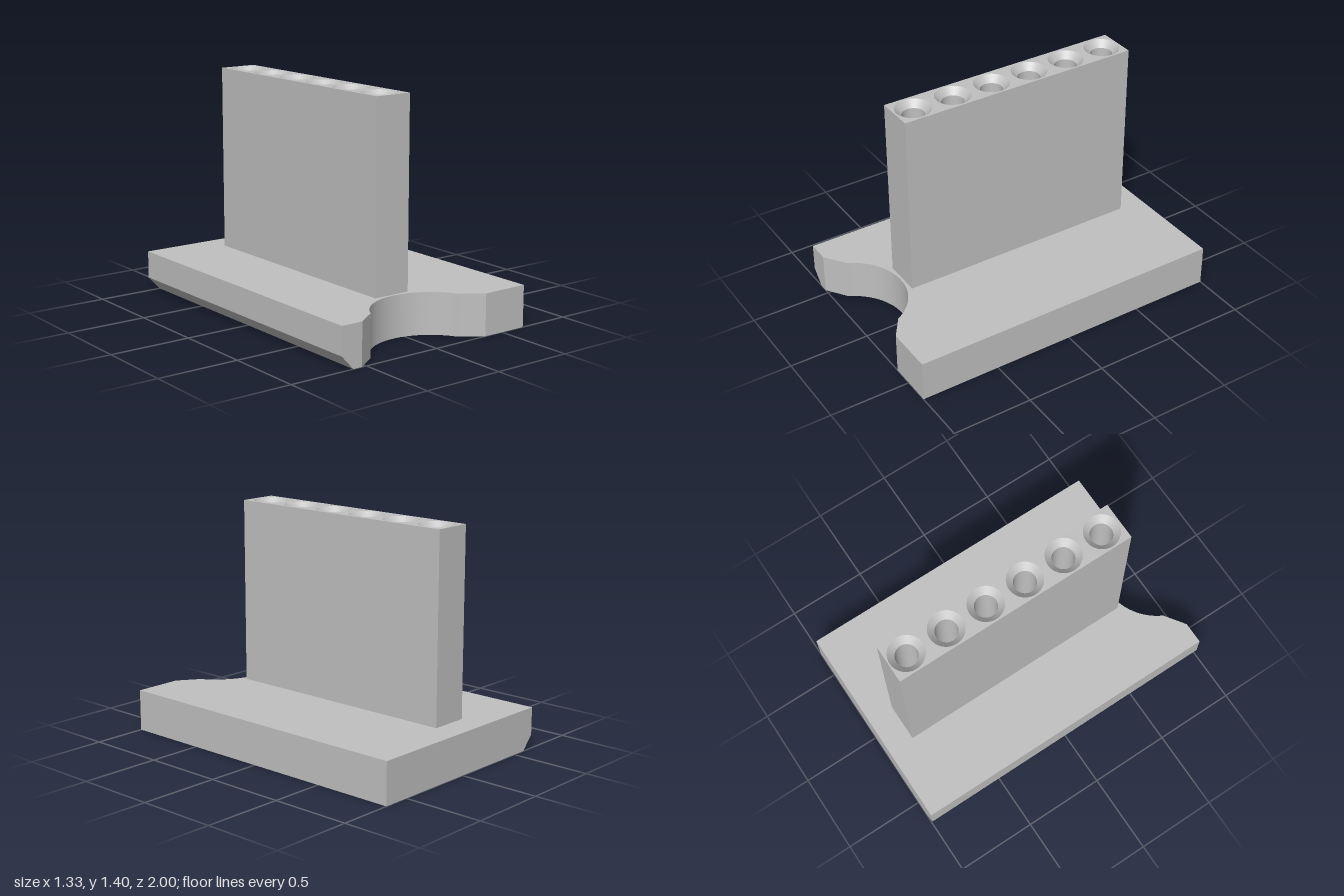
import * as THREE from 'three';
import { mergeGeometries, toCreasedNormals } from 'three/addons/utils/BufferGeometryUtils.js';

const BASE_H = 0.255, TOP = 1.4, AXIS_X = -0.08;
const RIM_R = 0.107, BORE_R = 0.067;

// Plate with a scalloped front edge and a chamfer under its right edge
function baseGeometry() {
  const s = new THREE.Shape(); // shape y is -z
  const a = Math.atan2(0.165, 0.32);
  s.moveTo(-0.667, 1);
  s.lineTo(-0.667, -1);
  s.lineTo(-0.53, -1);
  s.lineTo(-0.4, -0.91);
  s.absarc(AXIS_X, -1.075, 0.36, Math.PI - a, a, true);
  s.lineTo(0.37, -1);
  s.lineTo(0.667, -1);
  s.lineTo(0.667, 1);
  s.closePath();
  const g = new THREE.ExtrudeGeometry(s, { depth: BASE_H, steps: 3, bevelEnabled: false, curveSegments: 32 });
  g.rotateX(-Math.PI / 2);
  // pull the lowest ring of the right edge inward to form the chamfer
  const p = g.attributes.position;
  for (let i = 0; i < p.count; i++) {
    if (p.getX(i) < -0.66 && p.getY(i) < 0.01) p.setX(i, -0.59);
  }
  return toCreasedNormals(g, 0.35);
}

// Countersunk blind hole, facing inward, with crisp edges between its parts
function holeGeometry() {
  const profile = [[RIM_R, 0], [BORE_R, -0.04], [BORE_R, -0.5], [0, -0.5]]
    .map(([x, y]) => new THREE.Vector2(x, y));
  const parts = [];
  for (let i = 0; i < 3; i++) parts.push(new THREE.LatheGeometry([profile[i], profile[i + 1]], 48));
  return mergeGeometries(parts);
}

export function createModel() {
  const model = new THREE.Group();
  model.name = 'holder';
  const grey = new THREE.MeshStandardMaterial({ color: 0xc0c0c0 });
  grey.name = 'light grey';

  const add = (name, geometry, x = 0, y = 0, z = 0) => {
    const m = new THREE.Mesh(geometry, grey);
    m.name = name;
    m.position.set(x, y, z);
    model.add(m);
    return m;
  };

  add('base', baseGeometry());

  // Upright block: four side faces only, the pierced top is separate
  const x0 = -0.198, x1 = 0.039, z0 = -0.835, z1 = 0.7;
  const sides = new THREE.BoxGeometry(x1 - x0, TOP - BASE_H, z1 - z0);
  const index = Array.from(sides.index.array);
  index.splice(12, 12); // drop top and bottom
  sides.setIndex(index);
  sides.clearGroups();
  add('uprightSides', sides, (x0 + x1) / 2, (TOP + BASE_H) / 2, (z0 + z1) / 2);

  // Pierced top face and its row of holes
  const top = new THREE.Shape([[x0, -z1], [x1, -z1], [x1, -z0], [x0, -z0]]
    .map(([x, y]) => new THREE.Vector2(x, y)));
  const hole = holeGeometry();
  for (let i = 0; i < 6; i++) {
    const z = -0.72 + i * 0.26;
    top.holes.push(new THREE.Path().absarc(AXIS_X, -z, RIM_R, 0, Math.PI * 2, true));
    add('hole' + (i + 1), hole, AXIS_X, TOP, z);
  }
  add('uprightTop', new THREE.ShapeGeometry(top, 24).rotateX(-Math.PI / 2), 0, TOP, 0);

  return model;
}
